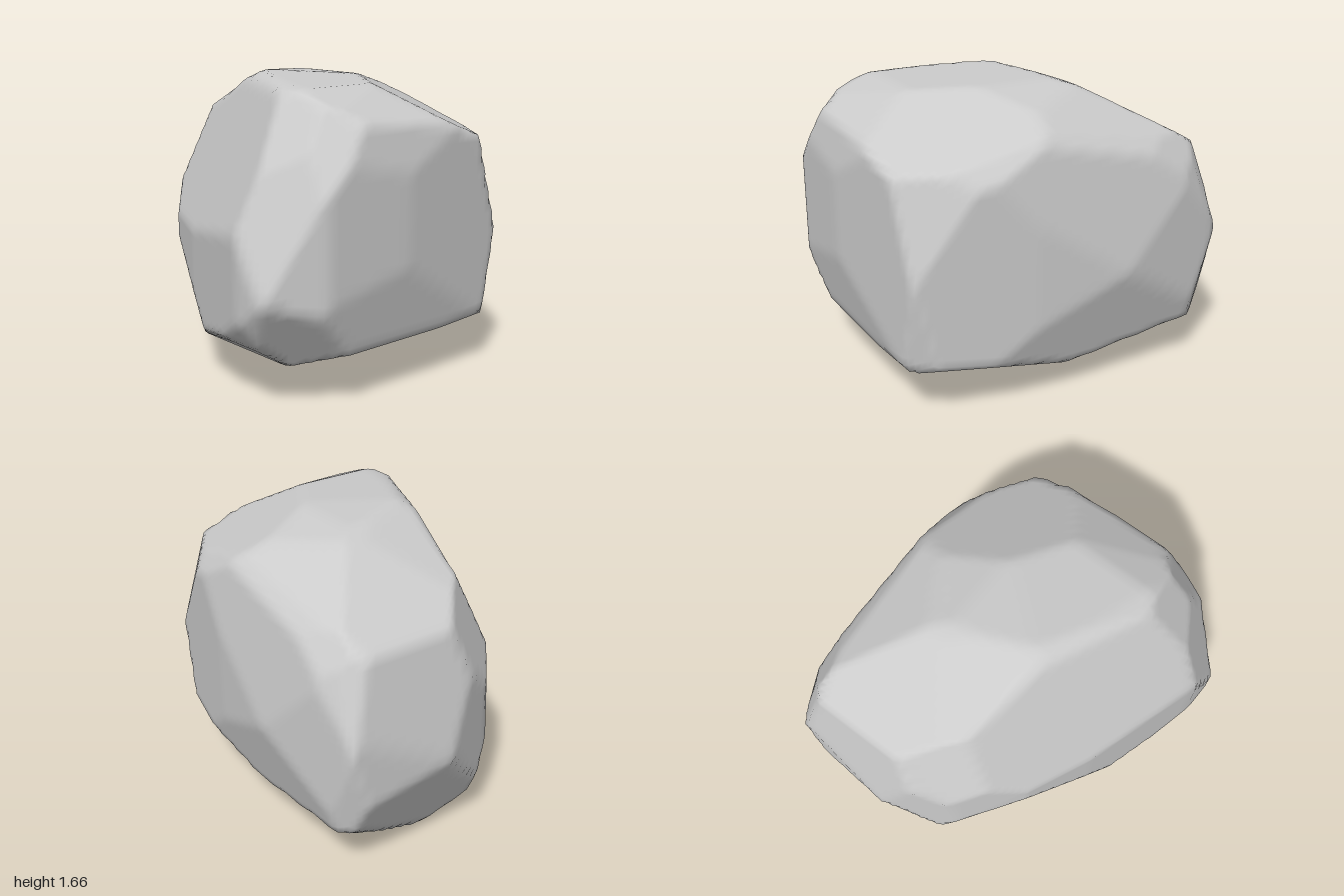
import * as THREE from 'three';
import { mergeVertices } from 'three/addons/utils/BufferGeometryUtils.js';

const CENTRE = new THREE.Vector3(0, 0.835, 0);
const planes = []; // bounding planes as { normal, distance from the centre }

function addPlane(normal, point) {
  normal.normalize();
  const dist = normal.dot(point.sub(CENTRE));
  planes.push(dist < 0 ? { normal: normal.negate(), dist: -dist } : { normal, dist });
}

// Trim to a convex outline, given as pairs (across, up) seen from a direction in degrees
function trim(azimuth, elevation, origin, pts) {
  const a = THREE.MathUtils.degToRad(azimuth), e = THREE.MathUtils.degToRad(elevation);
  const across = new THREE.Vector3(Math.cos(a), 0, -Math.sin(a));
  const up = new THREE.Vector3(
    -Math.sin(a) * Math.sin(e), Math.cos(e), -Math.cos(a) * Math.sin(e));
  const at = (s, t) => new THREE.Vector3().addScaledVector(across, s).addScaledVector(up, t);
  for (let i = 0; i < pts.length; i += 2) {
    const j = (i + 2) % pts.length;
    addPlane(at(pts[j + 1] - pts[i + 1], pts[i] - pts[j]), at(pts[i], pts[i + 1]).add(origin));
  }
}

function shapeBoulder() {
  const base = new THREE.Vector3();
  // Front outline, side outline and plan
  trim(0, 0, base, [
    -0.91, 0.5, -0.9, 0.9, -0.82, 1.19, -0.6, 1.58, -0.23, 1.67, 0.25, 1.64, 0.72, 1.53,
    0.78, 1.45, 0.91, 0.69, 0.77, 0.17, 0.3, 0, 0.15, 0, -0.6, 0.2, -0.8, 0.33]);
  trim(-90, 0, base, [
    0.93, 0.29, 1, 0.7, 1, 1.2, 0.94, 1.49, 0.6, 1.62, -0.08, 1.67, -0.45, 1.55,
    -0.85, 1.33, -1, 0.59, -0.76, 0.05, -0.5, 0, -0.2, 0.01, 0.6, 0.19]);
  trim(0, -90, base, [
    -0.91, 0.82, -0.89, 0.6, -0.65, -0.1, -0.48, -0.48, -0.2, -0.82, 0.2, -1,
    0.8, -0.94, 0.91, -0.27, 0.85, 0.25, 0.72, 0.92, -0.06, 1, -0.6, 0.98]);
  // Diagonal outlines, which round off the corners
  trim(35, 25, CENTRE, [
    -1.21, -0.27, -0.97, 0.31, -0.71, 0.65, -0.13, 0.81, 0.35, 0.74, 1.03, 0.54,
    1.2, 0.09, 1.09, -0.49, 0.77, -0.75, 0.02, -0.96, -0.85, -0.75]);
  trim(215, 25, CENTRE, [
    -1.2, -0.15, -1.07, 0.26, -0.93, 0.45, -0.5, 0.83, 0.32, 0.93, 0.82, 0.82,
    1.13, 0.35, 1.21, -0.13, 1.05, -0.42, 0.37, -0.79, -0.64, -0.94, -1.1, -0.61]);
  trim(140, -25, CENTRE, [
    -1.14, -0.14, -0.97, 0.43, -0.68, 0.74, 0.03, 0.92, 0.45, 0.75, 0.67, 0.25,
    0.68, -0.11, 0.48, -0.77, 0, -0.98, -0.43, -0.93, -1.07, -0.61]);
  // Sloping left flank, top right front corner, underside at the right and back
  addPlane(new THREE.Vector3(-0.84, 0.41, -0.36), new THREE.Vector3(-0.57, 1.58, 0.6));
  addPlane(new THREE.Vector3(0.45, 0.75, 0.45), new THREE.Vector3(0.68, 1.36, 0.92));
  addPlane(new THREE.Vector3(0.35, -0.9, -0.1), new THREE.Vector3(0.77, 0.23, -0.5));
}

function boulderGeometry() {
  let geo = new THREE.BoxGeometry(1.7, 1.5, 1.9, 36, 32, 40);
  geo.deleteAttribute('uv');
  geo.deleteAttribute('normal');
  geo = mergeVertices(geo, 1e-4);

  // Push every vertex out along its ray to the nearest plane
  const pos = geo.attributes.position, v = new THREE.Vector3();
  for (let i = 0; i < pos.count; i++) {
    v.fromBufferAttribute(pos, i).normalize();
    let r = Infinity;
    for (const { normal, dist } of planes) {
      const c = normal.dot(v);
      if (c > 1e-4) r = Math.min(r, dist / c);
    }
    v.multiplyScalar(r).add(CENTRE);
    pos.setXYZ(i, v.x, v.y, v.z);
  }
  geo.computeVertexNormals();
  return geo;
}

export function createModel() {
  planes.length = 0;
  shapeBoulder();
  const group = new THREE.Group();
  group.name = 'rock';
  const boulder = new THREE.Mesh(
    boulderGeometry(),
    new THREE.MeshStandardMaterial({ color: 0xcccccc })
  );
  boulder.name = 'boulder';
  group.add(boulder);
  return group;
}
